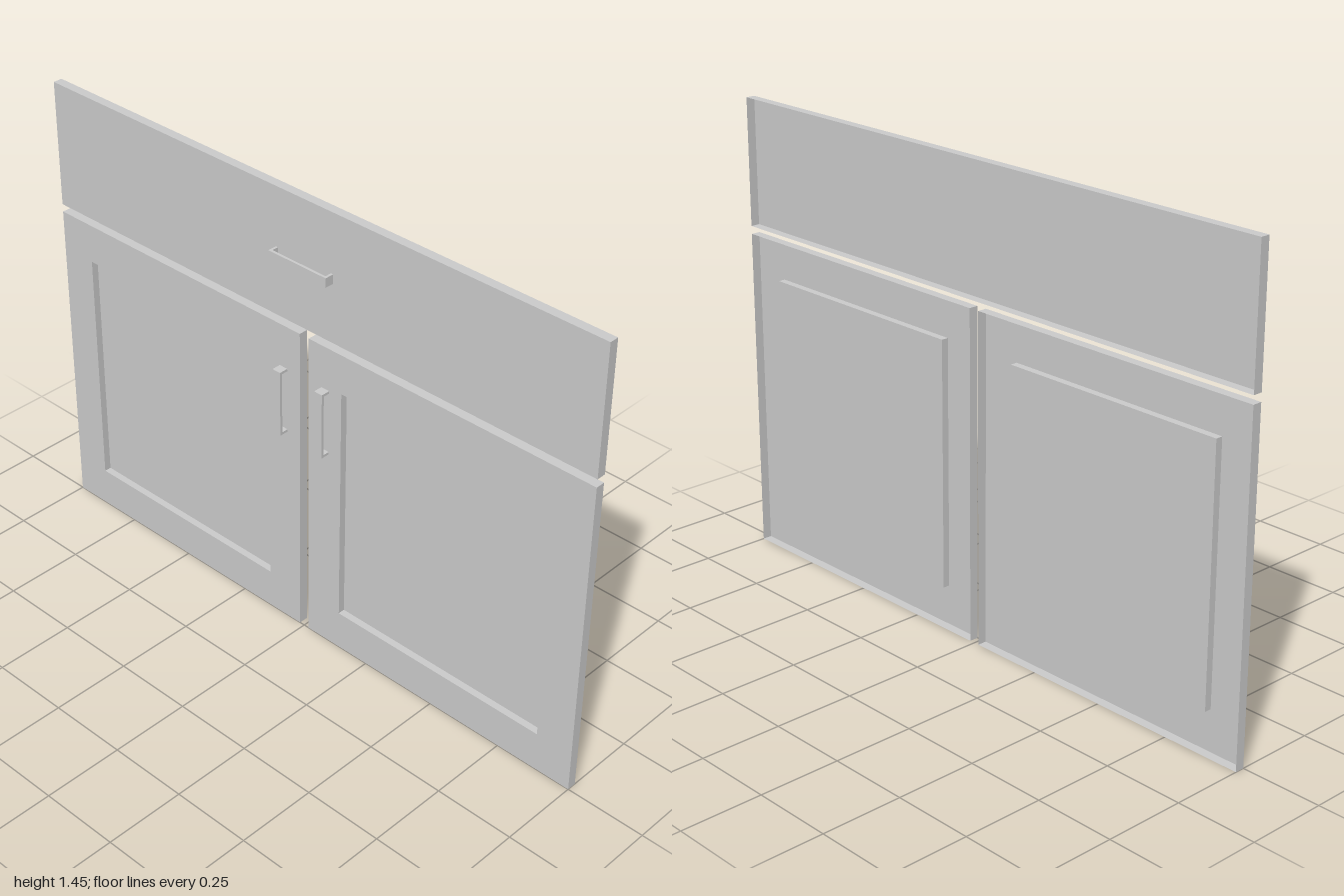
import * as THREE from 'three';

const material = new THREE.MeshStandardMaterial({ color: 0xcccccc, side: THREE.DoubleSide });
const BACK = -0.029, RECESS = -0.022;

function add(parent, name, geometry) {
  const mesh = new THREE.Mesh(geometry, material);
  mesh.name = name;
  parent.add(mesh);
  return mesh;
}

// Corners of a rectangle, counter-clockwise from the front
const corners = ([x0, y0, x1, y1]) =>
  [[x0, y0], [x1, y0], [x1, y1], [x0, y1]].map(([x, y]) => new THREE.Vector2(x, y));

// Four walls around a rectangle, from z = 0 back to the given depth
function walls(rect, depth, inward = false) {
  const c = corners(rect);
  if (inward) c.reverse();
  const pos = [];
  c.forEach((a, i) => {
    const b = c[(i + 1) % 4];
    pos.push(a.x, a.y, 0, a.x, a.y, depth, b.x, b.y, depth);
    pos.push(a.x, a.y, 0, b.x, b.y, depth, b.x, b.y, 0);
  });
  const g = new THREE.BufferGeometry();
  g.setAttribute('position', new THREE.Float32BufferAttribute(pos, 3));
  g.computeVertexNormals();
  return g;
}

// Open-backed front panel, optionally with a sunken centre
function panel(name, rect, inner) {
  const group = new THREE.Group();
  group.name = name;
  const face = new THREE.Shape(corners(rect));
  if (inner) {
    face.holes.push(new THREE.Path(corners(inner).reverse()));
    add(group, 'recessWalls', walls(inner, RECESS, true));
    add(group, 'recessPanel', new THREE.ShapeGeometry(new THREE.Shape(corners(inner))))
      .position.z = RECESS;
  }
  add(group, 'frontFace', new THREE.ShapeGeometry(face));
  add(group, 'panelEdges', walls(rect, BACK));
  return group;
}

// Square U-shaped pull, lying along x and centred on the origin
function handle(name) {
  const L = 0.106, D = 0.029, T = 0.008, W = 0.029;
  const outline = [[-L, 0], [-L + T, 0], [-L + T, D - T], [L - T, D - T],
    [L - T, 0], [L, 0], [L, D], [-L, D]].map(([x, y]) => new THREE.Vector2(x, y));
  const g = new THREE.ExtrudeGeometry(new THREE.Shape(outline), { depth: W, bevelEnabled: false });
  g.translate(0, 0, -W / 2);
  g.rotateX(Math.PI / 2);
  const mesh = new THREE.Mesh(g, material);
  mesh.name = name;
  return mesh;
}

export function createModel() {
  const model = new THREE.Group();
  model.name = 'cabinetFront';

  // Drawer front
  model.add(panel('drawerFront', [-1, 1.046, 1, 1.445]));
  const drawerHandle = handle('drawerHandle');
  drawerHandle.position.set(0, 1.246, 0);
  model.add(drawerHandle);

  // Pair of doors with upright pulls by the middle gap
  for (const [side, s] of [['left', 1], ['right', -1]]) {
    const rect = (a, y0, b, y1) => [Math.min(a * s, b * s), y0, Math.max(a * s, b * s), y1];
    model.add(panel(side + 'Door', rect(0.017, 0, 1, 1.021), rect(0.14, 0.126, 0.881, 0.896)));
    const pull = handle(side + 'DoorHandle');
    pull.rotation.z = Math.PI / 2;
    pull.position.set(s * 0.08, 0.779, 0);
    model.add(pull);
  }
  return model;
}
